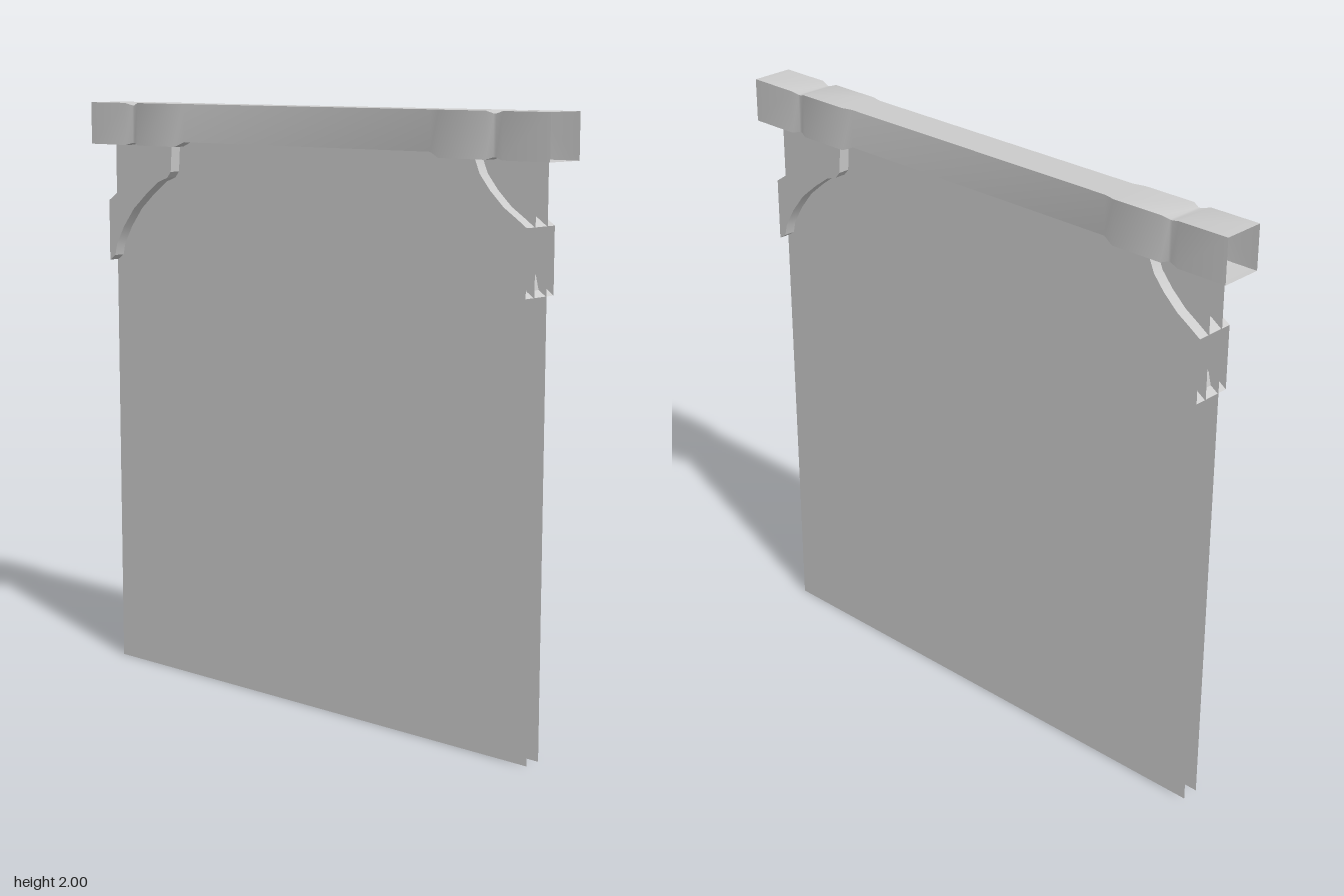
import * as THREE from 'three';
import { toCreasedNormals } from 'three/addons/utils/BufferGeometryUtils.js';

const material = new THREE.MeshStandardMaterial({ color: 0xcccccc, side: THREE.DoubleSide });

// Skin a surface over rows of points, each row having the same count
function skin(rows) {
  const n = rows[0].length;
  const index = [];
  for (let i = 0; i < rows.length - 1; i++) {
    for (let j = 0; j < n - 1; j++) {
      const a = i * n + j, b = a + 1, c = a + n, d = c + 1;
      index.push(a, c, d, a, d, b);
    }
  }
  const geo = new THREE.BufferGeometry();
  geo.setAttribute('position', new THREE.Float32BufferAttribute(rows.flat(2), 3));
  geo.setIndex(index);
  return toCreasedNormals(geo, 0.45);
}

function add(parent, name, geometry) {
  const mesh = new THREE.Mesh(geometry, material);
  mesh.name = name;
  parent.add(mesh);
  return mesh;
}

// Half of the beam, from the open end inwards: [z, half width, bottom, top]
const BEAM = [
  [1, 0.0725, 1.855, 2],
  [0.825, 0.0725, 1.855, 2],
  [0.795, 0.065, 1.863, 1.992],
  [0.785, 0.065, 1.863, 1.992],
  [0.762, 0.0725, 1.855, 2],
  [0.58, 0.0725, 1.855, 2],
  [0.54, 0.0625, 1.872, 2],
];

// Bracket edges as [z, y]
const UPPER = [[0.72, 1.855], [0.738, 1.813], [0.778, 1.765], [0.83, 1.717], [0.88, 1.685], [0.917, 1.66]];
const LOWER = [[0.917, 1.45], [0.89, 1.468], [0.88, 1.508], [0.842, 1.572], [0.79, 1.636], [0.725, 1.69],
  [0.665, 1.733], [0.62, 1.749], [0.602, 1.77], [0.596, 1.855]];
const BRACKET_HALF = 0.069;

// Hollow bracket, open at its outer end; end is +1 or -1 along z
function bracket(end) {
  const group = new THREE.Group();
  group.name = end > 0 ? 'frontBracket' : 'backBracket';
  for (const side of [1, -1]) {
    const outline = [...UPPER, ...LOWER].map(([z, y]) => new THREE.Vector2(-side * end * z, y));
    const cheek = new THREE.ShapeGeometry(new THREE.Shape(outline));
    cheek.rotateY(side * Math.PI / 2);
    cheek.translate(side * BRACKET_HALF, 0, 0);
    add(group, side > 0 ? 'leftCheek' : 'rightCheek', cheek);
  }
  for (const [name, path] of [['upperEdge', UPPER], ['lowerEdge', LOWER]]) {
    const rows = path.map(([z, y]) => [[-BRACKET_HALF, y, end * z], [BRACKET_HALF, y, end * z]]);
    if (end < 0) rows.reverse();
    add(group, name, skin(rows));
  }
  return group;
}

export function createModel() {
  const model = new THREE.Group();
  model.name = 'hangingPanel';

  // Open-ended hollow beam, mirrored front to back
  const stations = [...BEAM, ...BEAM.map(([z, ...rest]) => [-z, ...rest]).reverse()];
  add(model, 'beam', skin(stations.map(([z, w, b, t]) =>
    [[-w, b, z], [w, b, z], [w, t, z], [-w, t, z], [-w, b, z]])));

  // Two thin sheets hanging below the beam
  const height = 1.872;
  for (const side of [1, -1]) {
    const sheet = new THREE.PlaneGeometry(1.84, height);
    sheet.rotateY(side * Math.PI / 2);
    sheet.translate(side * 0.03, height / 2, 0);
    add(model, side > 0 ? 'leftSheet' : 'rightSheet', sheet);
  }

  // Corner brackets
  for (const end of [1, -1]) model.add(bracket(end));

  return model;
}
